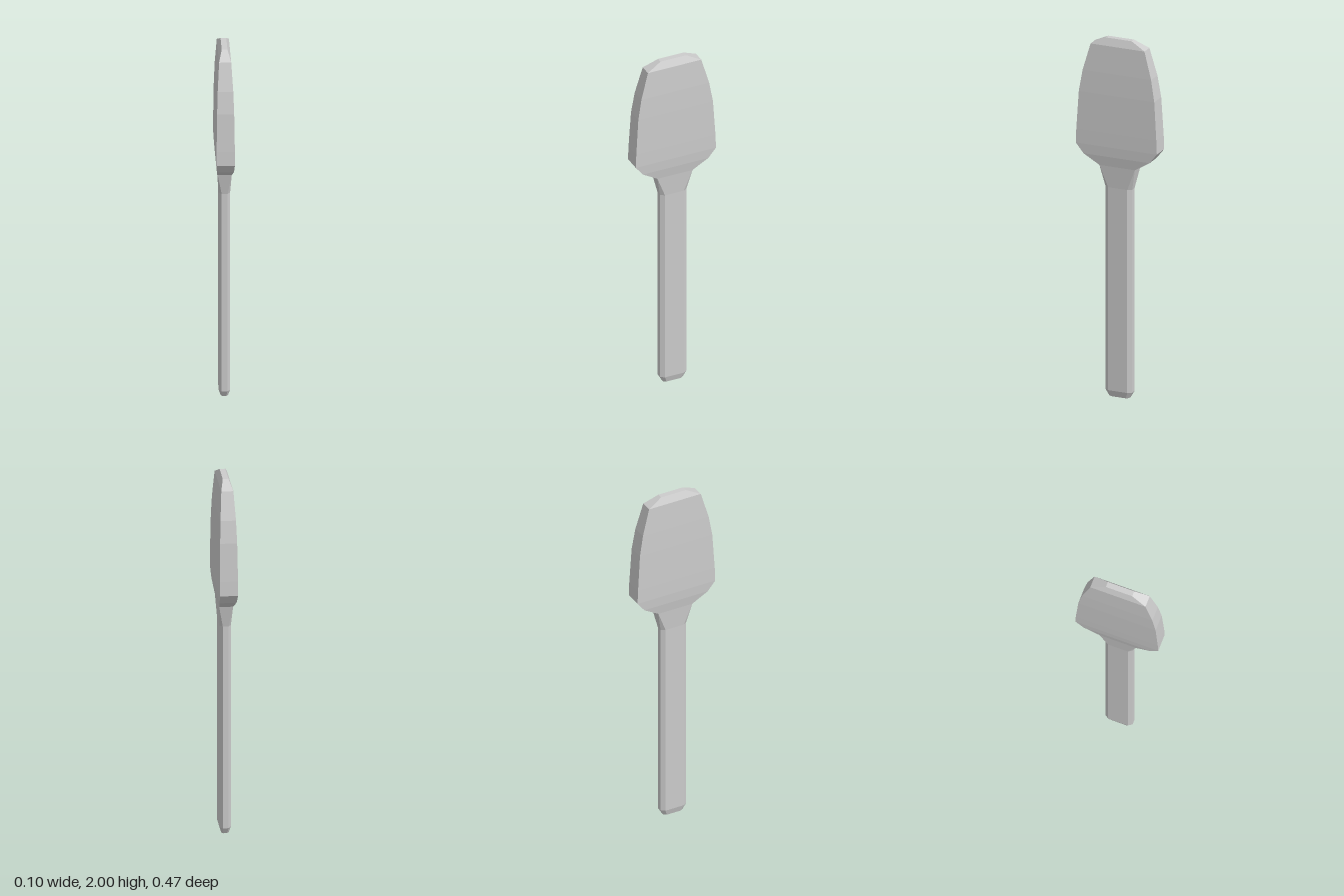
import * as THREE from 'three';

// Chamfered rectangle, counter-clockwise seen from above: half sizes hx, hz and corner cuts cx, cz
function ring([y, hx, hz, cx = 0, cz = 0]) {
  const q = [[hx - cx, hz], [hx, hz - cz]];
  return [
    ...q,
    [q[1][0], -q[1][1]], [q[0][0], -q[0][1]],
    [-q[0][0], -q[0][1]], [-q[1][0], -q[1][1]],
    [-q[1][0], q[1][1]], [-q[0][0], q[0][1]],
  ].map(([x, z]) => new THREE.Vector3(x, y, z));
}

// Flat-faced loft through the sections, with optional end caps
function loft(name, sections, capBottom, capTop, material) {
  const rings = sections.map(ring);
  const pos = [];
  const tri = (a, b, c) => {
    if (new THREE.Triangle(a, b, c).getArea() < 1e-8) return;
    for (const p of [a, b, c]) pos.push(p.x, p.y, p.z);
  };
  for (let s = 0; s < rings.length - 1; s++) {
    const a = rings[s], b = rings[s + 1];
    for (let i = 0; i < 8; i++) {
      const j = (i + 1) % 8;
      tri(a[i], a[j], b[j]);
      tri(a[i], b[j], b[i]);
    }
  }
  const first = rings[0], last = rings[rings.length - 1];
  for (let i = 1; i < 7; i++) {
    if (capBottom) tri(first[0], first[i + 1], first[i]);
    if (capTop) tri(last[0], last[i], last[i + 1]);
  }
  const geometry = new THREE.BufferGeometry();
  geometry.setAttribute('position', new THREE.Float32BufferAttribute(pos, 3));
  geometry.computeVertexNormals();
  const mesh = new THREE.Mesh(geometry, material);
  mesh.name = name;
  return mesh;
}

export function createModel() {
  const group = new THREE.Group();
  group.name = 'spatula';
  const material = new THREE.MeshStandardMaterial({ color: 0xcccccc, flatShading: true });

  // Chamfered handle, rounded off at the foot and flaring into the neck
  group.add(loft('handle', [
    [0, 0.02, 0.057, 0.01, 0.015],
    [0.035, 0.03, 0.077, 0.015, 0.022],
    [1.17, 0.03, 0.077, 0.015, 0.022],
    [1.29, 0.037, 0.102],
  ], true, false, material));

  // Broad blade, tapering in width and thickness towards the tip
  group.add(loft('blade', [
    [1.29, 0.037, 0.102],
    [1.345, 0.045, 0.19],
    [1.4, 0.048, 0.233],
    [1.48, 0.048, 0.23],
    [1.69, 0.045, 0.217],
    [1.81, 0.041, 0.197],
    [1.96, 0.032, 0.155],
    [2, 0.015, 0.074],
  ], false, true, material));

  return group;
}
